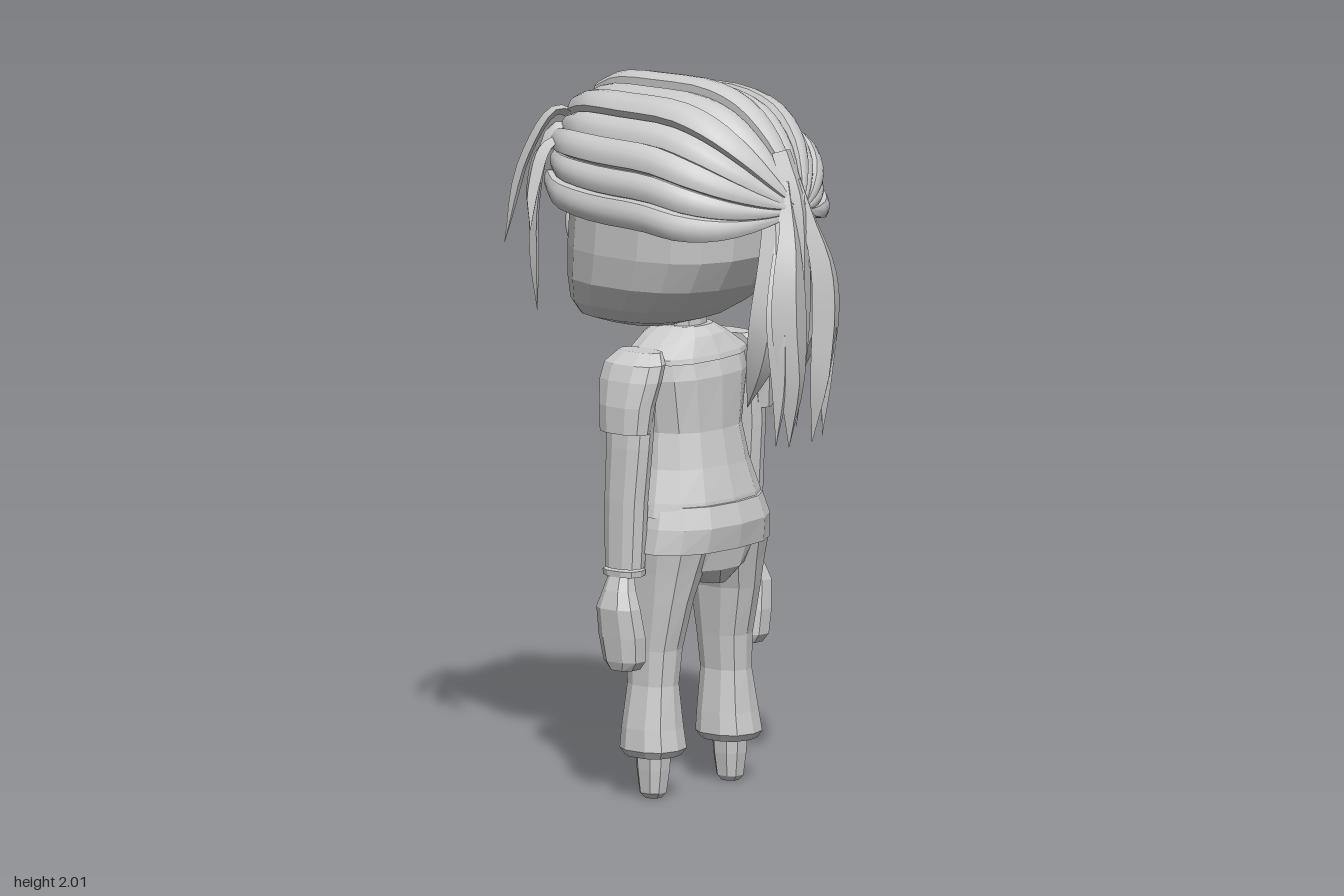
import * as THREE from 'three';
import { toCreasedNormals } from 'three/addons/utils/BufferGeometryUtils.js';

const V = (x, y, z) => new THREE.Vector3(x, y, z);

// Skin rows of points into faces; crease 0 gives facets
function skin(rows, closed, crease = 0) {
  const pos = [], n = rows[0].length;
  const tri = (a, b, c) => {
    const area = b.clone().sub(a).cross(c.clone().sub(a)).length();
    if (area > 1e-8) for (const p of [a, b, c]) pos.push(p.x, p.y, p.z);
  };
  for (let i = 0; i < rows.length - 1; i++)
    for (let j = 0; j < (closed ? n : n - 1); j++) {
      const k = (j + 1) % n;
      tri(rows[i][j], rows[i + 1][j], rows[i][k]);
      tri(rows[i][k], rows[i + 1][j], rows[i + 1][k]);
    }
  const g = new THREE.BufferGeometry();
  g.setAttribute('position', new THREE.Float32BufferAttribute(pos, 3));
  g.computeVertexNormals();
  return crease ? toCreasedNormals(g, crease) : g;
}

// Close a stack of rings with a centre point at both ends
function cap(rows) {
  const mid = r => {
    const c = r.reduce((s, p) => s.add(p), V(0, 0, 0)).divideScalar(r.length);
    return r.map(() => c);
  };
  return [mid(rows[0]), ...rows, mid(rows[rows.length - 1])];
}

// Horizontal rings [y, centre x, half width, centre z, half depth], bottom to top
function loft(rings, side = 1, n = 10, power = 0.8) {
  const f = v => Math.sign(v) * Math.abs(v) ** power;
  return skin(cap(rings.map(([y, cx, rx, cz, rz]) =>
    Array.from({ length: n }, (_, i) => {
      const a = (i + 0.5) / n * Math.PI * 2;
      return V(side * cx + rx * f(Math.cos(a)), y, cz + rz * f(Math.sin(a)));
    }))), true);
}

// Tapered lock of hair: points [x, y, z, half width], across = width direction
function lock(points, side, across, thick) {
  const curve = new THREE.CatmullRomCurve3(points.map(p => V(p[0] * side, p[1], p[2])));
  const width = new THREE.CatmullRomCurve3(points.map((p, i) => V(i, p[3], 0)));
  const rows = [];
  for (let i = 0; i <= 14; i++) {
    const t = i / 14, c = curve.getPoint(t), d = curve.getTangent(t);
    const w = V(across[0] * side, across[1], across[2]);
    w.addScaledVector(d, -w.dot(d)).normalize();
    const nrm = d.clone().cross(w);
    const h = Math.max(width.getPoint(t).y, 0.001), k = Math.min(thick, h * 0.6);
    rows.push([[h, 0], [0, k], [-h, 0], [0, -k]].map(([a, b]) =>
      c.clone().addScaledVector(w, a).addScaledVector(nrm, b)));
  }
  return skin(cap(rows), true, 0.6);
}

export function createModel() {
  const model = new THREE.Group();
  model.name = 'figure';
  const grey = new THREE.MeshStandardMaterial({ color: 0xcccccc, side: THREE.DoubleSide });
  grey.name = 'plain grey';
  const add = (name, geometry) => {
    const m = new THREE.Mesh(geometry, grey);
    m.name = name;
    model.add(m);
    return m;
  };

  // Head with a flattened face towards -z
  add('head', loft([
    [1.31, 0, 0.11, -0.16, 0.12], [1.335, 0, 0.19, -0.145, 0.185], [1.38, 0, 0.25, -0.11, 0.225],
    [1.45, 0, 0.288, -0.06, 0.272], [1.54, 0, 0.303, -0.03, 0.298], [1.64, 0, 0.305, -0.02, 0.3],
    [1.74, 0, 0.285, -0.025, 0.29], [1.83, 0, 0.23, -0.04, 0.265], [1.9, 0, 0.13, -0.06, 0.2],
  ], 1, 18, 0.78));
  for (const s of [1, -1]) {
    const eye = add('eye', new THREE.SphereGeometry(1, 10, 8));
    eye.scale.set(0.016, 0.05, 0.01);
    eye.position.set(s * 0.14, 1.585, -0.325);
    const brow = add('eyebrow', new THREE.BoxGeometry(0.095, 0.022, 0.02));
    brow.position.set(s * 0.145, 1.69, -0.312);
    brow.rotation.z = -s * 0.12;
  }

  // Swept back hair: alternating raised strips converging on the ponytail
  const sweep = new THREE.CatmullRomCurve3([ // z, centre y, radius
    V(-0.33, 1.725, 0.225), V(-0.25, 1.705, 0.285), V(-0.1, 1.69, 0.312), V(0.08, 1.685, 0.315),
    V(0.2, 1.665, 0.295), V(0.29, 1.655, 0.225), V(0.35, 1.66, 0.125), V(0.385, 1.675, 0.035)]);
  const strips = 13, span = 3.5;
  for (let i = 0; i < strips; i++) {
    const lift = i % 2 ? -0.008 : 0.012;
    const across = [[0, -0.025], [0.04, lift - 0.006], [0.27, lift + 0.003], [0.5, lift + 0.006],
      [0.73, lift + 0.003], [0.96, lift - 0.006], [1, -0.025]];
    const rows = [];
    for (let k = -1; k <= 18; k++) {
      const p = sweep.getPoint(Math.max(k, 0) / 18);
      const fade = Math.min(1, p.z / 0.16), shrink = k < 0 ? 0.8 : 1;
      rows.push(across.map(([v, off]) => {
        const a = ((i + v) / strips - 0.5) * span, r = (p.z + off * fade) * shrink;
        return V(Math.sin(a) * r * 1.02, p.y + Math.cos(a) * r * 0.97, p.x + (k < 0 ? 0.04 : 0));
      }));
    }
    add('hairStrip', skin(rows, false, 0.5));
  }

  // Ponytail
  add('ponytailCentre', lock([[0, 1.84, 0.32, 0.04], [0, 1.7, 0.375, 0.045], [0, 1.5, 0.385, 0.05],
    [0, 1.3, 0.385, 0.04], [0, 1.07, 0.375, 0]], 1, [1, 0, 0], 0.02));
  for (const s of [1, -1]) {
    add('ponytailInner', lock([[0.025, 1.76, 0.35, 0.03], [0.045, 1.64, 0.385, 0.035],
      [0.075, 1.5, 0.41, 0.06], [0.08, 1.38, 0.415, 0.068], [0.06, 1.2, 0.41, 0.048],
      [0.05, 1.02, 0.39, 0]], s, [1, 0, -0.1], 0.03));
    add('ponytailOuter', lock([[0.04, 1.68, 0.33, 0.03], [0.08, 1.52, 0.365, 0.05],
      [0.1, 1.38, 0.36, 0.055], [0.09, 1.25, 0.32, 0.04], [0.075, 1.12, 0.26, 0]], s, [0.7, 0, -0.7], 0.025));
    add('ponytailTip', lock([[0.05, 1.6, 0.37, 0.03], [0.105, 1.4, 0.4, 0.045],
      [0.1, 1.2, 0.4, 0.03], [0.1, 1.03, 0.385, 0]], s, [1, 0, -0.2], 0.025));

    // Loose locks framing the face
    add('frontLock', lock([[0.07, 1.84, -0.31, 0.02], [0.15, 1.895, -0.365, 0.038],
      [0.225, 1.77, -0.415, 0.038], [0.28, 1.53, -0.445, 0]], s, [0.6, 0.3, 0.8], 0.014));
    add('longLock', lock([[0.1, 1.84, -0.31, 0.02], [0.19, 1.85, -0.345, 0.035],
      [0.255, 1.66, -0.355, 0.032], [0.27, 1.5, -0.345, 0.024], [0.27, 1.35, -0.335, 0]], s, [0.6, 0, 0.8], 0.014));
    add('sideLock', lock([[0.19, 1.83, -0.3, 0.025], [0.27, 1.81, -0.31, 0.04],
      [0.335, 1.72, -0.295, 0.035], [0.385, 1.6, -0.265, 0]], s, [0.3, 0.2, 0.9], 0.015));
  }

  // Neck and clothed torso
  add('neck', loft([[1.26, 0, 0.06, -0.03, 0.06], [1.38, 0, 0.06, -0.03, 0.06]]));
  add('collar', loft([[1.225, 0, 0.2, -0.025, 0.125], [1.24, 0, 0.2, -0.025, 0.12],
    [1.29, 0, 0.12, -0.03, 0.1], [1.315, 0, 0.075, -0.03, 0.075]], 1, 14));
  add('jacket', loft([[0.8, 0, 0.222, -0.01, 0.165], [0.84, 0, 0.212, -0.012, 0.163],
    [0.93, 0, 0.182, -0.022, 0.15], [1.03, 0, 0.165, -0.03, 0.139], [1.18, 0, 0.192, -0.025, 0.133],
    [1.24, 0, 0.19, -0.025, 0.115], [1.3, 0, 0.08, -0.03, 0.08]], 1, 14));
  add('shirtHem', loft([[0.7, 0, 0.238, 0.008, 0.16], [0.77, 0, 0.225, 0.01, 0.17],
    [0.83, 0, 0.205, 0.005, 0.158]], 1, 14));
  add('pelvis', loft([[0.595, 0, 0.035, 0.04, 0.07], [0.64, 0, 0.12, 0.015, 0.125],
    [0.72, 0, 0.2, 0.005, 0.145]], 1, 12));

  for (const s of [1, -1]) {
    // Legs flare at the cuff above small pointed feet
    add('trouserLeg', loft([[0.12, 0.165, 0.07, -0.005, 0.075], [0.14, 0.164, 0.083, -0.005, 0.09],
      [0.2, 0.163, 0.077, -0.008, 0.083], [0.32, 0.158, 0.058, -0.01, 0.073],
      [0.42, 0.152, 0.062, -0.01, 0.08], [0.56, 0.145, 0.072, -0.002, 0.105],
      [0.64, 0.132, 0.088, 0, 0.122], [0.72, 0.12, 0.105, 0.005, 0.138]], s));
    add('foot', loft([[0, 0.167, 0.022, -0.003, 0.024], [0.015, 0.167, 0.036, -0.003, 0.037],
      [0.08, 0.166, 0.043, -0.003, 0.046], [0.14, 0.166, 0.046, -0.003, 0.05]], s, 8));

    // Arms with short over-sleeves, cuffs and mitten hands
    add('sleeve', loft([[1.045, 0.264, 0.047, -0.022, 0.079], [1.12, 0.257, 0.053, -0.022, 0.086],
      [1.19, 0.24, 0.055, -0.022, 0.098], [1.235, 0.222, 0.054, -0.022, 0.096],
      [1.265, 0.195, 0.035, -0.025, 0.07]], s));
    add('arm', loft([[0.66, 0.253, 0.043, -0.033, 0.058], [0.85, 0.25, 0.046, -0.03, 0.064],
      [1.0, 0.245, 0.046, -0.023, 0.07], [1.15, 0.235, 0.046, -0.022, 0.075]], s));
    add('cuff', loft([[0.638, 0.255, 0.046, -0.034, 0.06], [0.655, 0.255, 0.047, -0.034, 0.062]], s));
    add('hand', loft([[0.375, 0.265, 0.04, -0.022, 0.042], [0.4, 0.267, 0.047, -0.022, 0.062],
      [0.47, 0.274, 0.048, -0.026, 0.07], [0.55, 0.285, 0.045, -0.03, 0.066],
      [0.6, 0.278, 0.036, -0.032, 0.048], [0.65, 0.265, 0.028, -0.034, 0.035]], s, 8));
    add('thumb', loft([[0.5, 0.25, 0.017, -0.075, 0.018], [0.54, 0.25, 0.022, -0.08, 0.023],
      [0.61, 0.258, 0.02, -0.06, 0.022]], s, 6));
  }
  return model;
}
